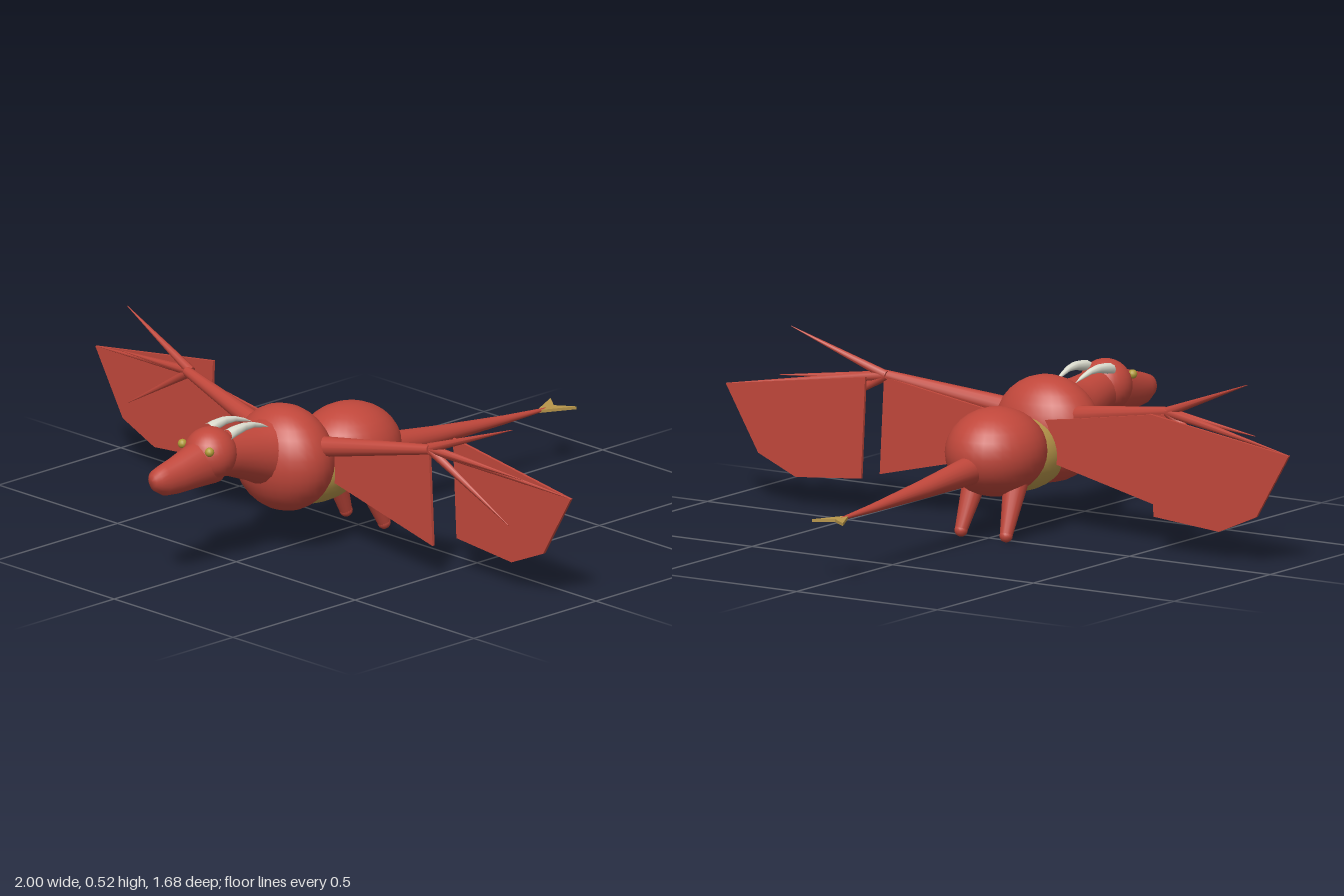
import * as THREE from 'three';

const mat = (name, color, side = THREE.FrontSide) => {
  const m = new THREE.MeshStandardMaterial({ color, side });
  m.name = name;
  return m;
};

export function createModel() {
  const red = mat('scale red', 0xc0473b);
  const gold = mat('belly gold', 0xb8964a);
  const ivory = mat('horn ivory', 0xdfe0d2);
  const amber = mat('eye amber', 0xb09a38);
  const model = new THREE.Group();
  model.name = 'dragon';

  const add = (name, geometry, material) => {
    const mesh = new THREE.Mesh(geometry, material);
    mesh.name = name;
    model.add(mesh);
    return mesh;
  };

  const ellipsoid = (name, center, radii, material, seg = 32) => {
    const g = new THREE.SphereGeometry(1, seg, seg / 2);
    g.scale(...radii).translate(...center);
    return add(name, g, material);
  };

  // Tapered round limb between two points
  const limb = (name, a, b, ra, rb, material, seg = 12) => {
    const p = new THREE.Vector3(...a), q = new THREE.Vector3(...b);
    const dir = q.clone().sub(p);
    const g = new THREE.CylinderGeometry(rb, ra, dir.length(), seg);
    const mesh = add(name, g, material);
    mesh.position.copy(p).add(q).multiplyScalar(0.5);
    mesh.quaternion.setFromUnitVectors(new THREE.Vector3(0, 1, 0), dir.normalize());
    return mesh;
  };

  // Skin over elliptical sections [x, y, z, rx, ry], listed with rising z
  const loft = (name, sections, material, seg = 20) => {
    const pos = [], index = [];
    sections.forEach(([x, y, z, rx, ry], i) => {
      for (let j = 0; j < seg; j++) {
        const t = (j / seg) * Math.PI * 2;
        pos.push(x + rx * Math.cos(t), y + ry * Math.sin(t), z);
        if (i === sections.length - 1) continue;
        const a = i * seg + j, b = i * seg + ((j + 1) % seg);
        index.push(a, b, a + seg, b, b + seg, a + seg);
      }
    });
    const g = new THREE.BufferGeometry();
    g.setAttribute('position', new THREE.Float32BufferAttribute(pos, 3));
    g.setIndex(index);
    g.computeVertexNormals();
    return add(name, g, material);
  };

  // Thin flat plate, centred on its own plane
  const plate = (name, points, material, depth = 0.009) => {
    const shape = new THREE.Shape(points.map(([x, y]) => new THREE.Vector2(x, y)));
    const g = new THREE.ExtrudeGeometry(shape, { depth, bevelEnabled: false });
    g.translate(0, 0, -depth / 2);
    return add(name, g, material);
  };

  // Torso
  ellipsoid('chest', [0, 0.28, 0.305], [0.168, 0.16, 0.13], red);
  ellipsoid('hips', [0, 0.253, 0.038], [0.145, 0.132, 0.164], red);
  ellipsoid('belly', [0, 0.225, 0.175], [0.112, 0.11, 0.18], gold);

  // Neck and head
  loft('neck', [
    [0, 0.31, 0.32, 0.1, 0.11],
    [0, 0.31, 0.4, 0.088, 0.098],
    [0, 0.325, 0.46, 0.078, 0.082],
    [0, 0.345, 0.54, 0.068, 0.07],
    [0, 0.355, 0.6, 0.065, 0.065],
  ], red);
  ellipsoid('head', [0, 0.36, 0.607], [0.08, 0.08, 0.08], red);
  loft('snout', [
    [0, 0.345, 0.6, 0.066, 0.076],
    [0, 0.338, 0.67, 0.056, 0.068],
    [0, 0.325, 0.75, 0.044, 0.056],
    [0, 0.321, 0.8, 0.038, 0.047],
    [0, 0.325, 0.83, 0.031, 0.033],
    [0, 0.328, 0.843, 0.018, 0.018],
    [0, 0.328, 0.845, 0, 0],
  ], red);

  // Tail with a forked flat tip
  loft('tail', [
    [0, 0.18, -0.78, 0, 0],
    [0, 0.18, -0.775, 0.005, 0.004],
    [0, 0.186, -0.6, 0.015, 0.013],
    [0, 0.2, -0.35, 0.029, 0.027],
    [0, 0.216, -0.12, 0.04, 0.042],
    [0, 0.222, -0.02, 0.044, 0.046],
  ], red);
  const tip = plate('tailTip', [[0, 0.73], [0.055, 0.84], [0, 0.8], [-0.055, 0.84]], gold);
  tip.rotation.x = -Math.PI / 2;
  tip.position.y = 0.18;

  // Paired parts: s = 1 is left, s = -1 is right
  for (const s of [1, -1]) {
    const side = s > 0 ? 'left' : 'right';

    ellipsoid(side + 'Eye', [s * 0.057, 0.39, 0.665], [0.014, 0.014, 0.014], amber, 16);

    loft(side + 'Horn', [
      [s * 0.034, 0.402, 0.4, 0, 0],
      [s * 0.036, 0.414, 0.43, 0.006, 0.006],
      [s * 0.039, 0.426, 0.47, 0.01, 0.009],
      [s * 0.041, 0.429, 0.51, 0.014, 0.013],
      [s * 0.041, 0.424, 0.55, 0.018, 0.016],
      [s * 0.041, 0.418, 0.575, 0.019, 0.017],
    ], ivory, 8);

    // Leg with a rounded foot
    limb(side + 'Leg', [s * 0.07, 0.19, 0.045], [s * 0.08, 0.02, -0.027], 0.04, 0.019, red, 16);
    ellipsoid(side + 'Foot', [s * 0.08, 0.02, -0.027], [0.02, 0.02, 0.02], red, 16);

    // Wing arm, fanned finger spikes and two membrane panels
    limb(side + 'WingArm', [s * 0.1, 0.33, 0.28], [s * 0.51, 0.4, 0.205], 0.032, 0.015, red);
    const fingers = [[0.81, 0.52, 0.158], [1, 0.338, 0.1], [0.845, 0.372, 0.15], [0.8, 0.225, 0.165]];
    fingers.forEach(([x, y, z], i) =>
      limb(side + 'WingFinger' + (i + 1), [s * 0.5, 0.4, 0.198], [s * x, y, z], 0.015, 0.001, red, 8));

    const inner = [[0, 0.32], [0.15, 0.34], [0.505, 0.395], [0.52, 0.103], [0.15, 0.19], [0, 0.225]];
    const outer = [[0.505, 0.41], [1, 0.338], [0.885, 0.143], [0.752, 0.085], [0.52, 0.105]];
    const mirror = (pts) => pts.map(([x, y]) => [s * x, y]);
    plate(side + 'InnerMembrane', mirror(inner), red).position.z = 0.198;
    plate(side + 'OuterMembrane', mirror(outer), red).position.z = 0.1;
  }

  return model;
}
